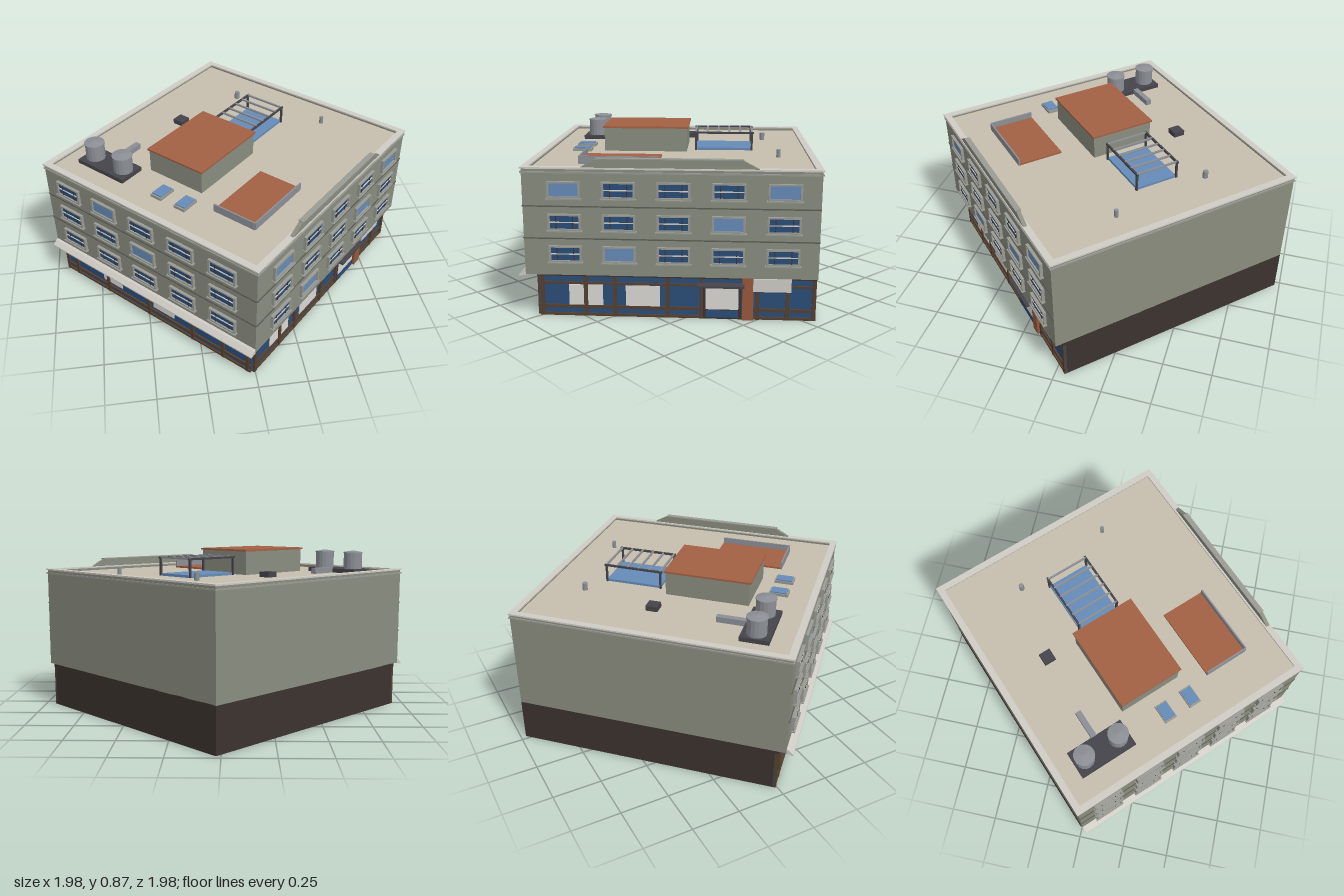
import * as THREE from 'three';

const W = 1.405, D = 1.35;            // upper storeys, before the cornice
const RECESS = 0.055;                 // ground floor set back under the two street fronts
const ROOF = 0.735;

const mat = (color) => new THREE.MeshStandardMaterial({ color });
const M = {
  wall: mat(0x8a8d7f), band: mat(0x5c5e55), trim: mat(0x9a9b94), pale: mat(0xd0cdc6),
  roof: mat(0xc6beae), base: mat(0x3c322e), frame: mat(0x55402f), brick: mat(0x98583c),
  glass: mat(0x2b4d78), lit: mat(0x668cb8), terracotta: mat(0xa26144), paper: mat(0xdcdad5),
  metal: mat(0x8c9096), dark: mat(0x45444a),
};

function add(parent, name, geometry, material, x = 0, y = 0, z = 0) {
  const mesh = new THREE.Mesh(geometry, material);
  mesh.name = name;
  mesh.position.set(x, y, z);
  parent.add(mesh);
  return mesh;
}
// box given by its centre in x and z and by its bottom and top in y
const box = (p, name, m, w, y0, y1, d, x = 0, z = 0) =>
  add(p, name, new THREE.BoxGeometry(w, y1 - y0, d), m, x, (y0 + y1) / 2, z);
// flat box on a facade, from x0 to x1 and y0 to y1, standing out from the wall by d
const panel = (p, name, m, x0, x1, y0, y1, d) =>
  box(p, name, m, x1 - x0, y0, y1, d, (x0 + x1) / 2, d / 2);

function group(parent, name, x = 0, y = 0, z = 0, turn = 0) {
  const g = new THREE.Group();
  g.name = name;
  g.position.set(x, y, z);
  g.rotation.y = turn;
  parent.add(g);
  return g;
}

// four walls around a rectangle
function ring(p, name, m, w, d, t, y0, y1) {
  for (const s of [-1, 1]) {
    box(p, name, m, w, y0, y1, t, 0, s * (d - t) / 2);
    box(p, name, m, t, y0, y1, d - 2 * t, s * (w - t) / 2, 0);
  }
}

function officeWindow(p, x, y, lit) {
  const g = group(p, 'window', x, y, 0);
  const w = 0.158, h = 0.08;
  for (const s of [-1, 1]) {
    box(g, 'windowFrame', M.trim, w, s * (h / 2 - 0.004) - 0.004, s * (h / 2 - 0.004) + 0.004, 0.02, 0, 0.005);
    box(g, 'windowFrame', M.trim, 0.01, -h / 2, h / 2, 0.02, s * (w / 2 - 0.005), 0.005);
  }
  box(g, 'windowSill', M.trim, w + 0.012, -h / 2 - 0.006, -h / 2, 0.03, 0, 0.006);
  box(g, 'windowPane', lit ? M.lit : M.glass, w - 0.02, -h / 2 + 0.008, h / 2 - 0.008, 0.008, 0, 0.003);
  if (lit) return;
  box(g, 'windowTransom', M.pale, w - 0.02, -0.003, 0.002, 0.006, 0, 0.008);
  for (const s of [-1, 1]) box(g, 'windowMullion', M.base, 0.004, -h / 2 + 0.008, h / 2 - 0.008, 0.005, s * 0.04, 0.008);
}

// three rows of five windows and the lines between floors
function upperFacade(p, name, width, pitch, mid, lit, x, z, turn) {
  const g = group(p, name, x, 0, z, turn);
  [0.65, 0.492, 0.335].forEach((y, row) => {
    for (let i = 0; i < 5; i++) officeWindow(g, mid + (i - 2) * pitch, y, lit.includes(row * 5 + i));
  });
  for (const y of [0.41, 0.568]) box(g, 'floorBand', M.band, width, y - 0.003, y + 0.003, 0.008);
  return g;
}

// shop glazing with base, fascia, mullions and paper panels
function shopFront(p, name, x0, x1, posts, papers, baseTop, transom, x, z, turn) {
  const g = group(p, name, x, 0, z, turn);
  panel(g, 'shopGlass', M.glass, x0, x1, 0.01, 0.21, 0.004);
  panel(g, 'shopBase', M.frame, x0, x1, 0, 0.012, 0.014);
  panel(g, 'shopRail', M.frame, x0, x1, baseTop - 0.014, baseTop, 0.014);
  panel(g, 'shopTransom', M.frame, x0, x1, transom, transom + 0.01, 0.014);
  panel(g, 'shopFascia', M.base, x0, x1, 0.207, 0.226, 0.018);
  for (const px of posts) panel(g, 'shopMullion', M.frame, px - 0.009, px + 0.009, 0, 0.21, 0.016);
  for (const [a, b, lo, hi] of papers) panel(g, 'paperPanel', M.paper, a, b, lo, hi, 0.009);
  return g;
}

function buildStreetFronts(b) {
  upperFacade(b, 'mainFacade', W, 0.259, 0.015, [0, 4, 8, 11], 0, D / 2, 0);
  const side = upperFacade(b, 'sideFacade', D, 0.248, -0.012, [1, 7], -W / 2, 0, -Math.PI / 2);

  // sloping ledge above the side shop front
  const s = new THREE.Shape([[0, 0.25], [0.012, 0.245], [0.034, 0.223], [0.034, 0.216], [0, 0.222]]
    .map(([a, c]) => new THREE.Vector2(a, c)));
  const ledge = add(side, 'ledge', new THREE.ExtrudeGeometry(s, { depth: D, bevelEnabled: false }), M.pale, D / 2, 0, 0);
  ledge.rotation.y = -Math.PI / 2;

  const right = shopFront(b, 'mainShopFront', -W / 2 + RECESS, W / 2,
    [-0.635, -0.42, -0.276, -0.018, 0.147, 0.42, 0.564, 0.693],
    [[-0.503, -0.43, 0.05, 0.16], [-0.41, -0.336, 0.05, 0.16], [-0.223, -0.056, 0.05, 0.16]],
    0.055, 0.165, 0, D / 2 - RECESS, 0);
  // entrance with canopy, pillar and blank sign
  panel(right, 'door', M.base, 0.155, 0.342, 0, 0.17, 0.015);
  panel(right, 'doorBottom', M.glass, 0.168, 0.328, 0.008, 0.045, 0.017);
  panel(right, 'doorPane', M.paper, 0.168, 0.328, 0.05, 0.16, 0.018);
  panel(right, 'doorCanopy', M.dark, 0.13, 0.355, 0.174, 0.184, 0.06);
  panel(right, 'entrancePillar', M.brick, 0.346, 0.4, 0, 0.225, 0.026);
  panel(right, 'signBoard', M.pale, 0.397, 0.58, 0.15, 0.215, 0.032);

  shopFront(b, 'sideShopFront', -D / 2, D / 2 - RECESS,
    [-0.666, -0.588, -0.346, -0.05, 0.25, 0.447, 0.6],
    [[-0.385, -0.248, 0.068, 0.165], [-0.02, 0.122, 0.068, 0.165]],
    0.05, 0.2, -W / 2 + RECESS, 0, -Math.PI / 2);
}

function buildRoof(b) {
  ring(b, 'parapet', M.wall, W, D, 0.022, 0.72, 0.752);
  ring(b, 'cornice', M.trim, W + 0.01, D + 0.01, 0.016, 0.728, 0.736);
  ring(b, 'parapetCap', M.pale, W + 0.012, D + 0.012, 0.034, 0.748, 0.756);

  // raised parapet with sloping ends over the main front
  const s = new THREE.Shape([[-0.43, 0.752], [0.42, 0.752], [0.335, 0.797], [-0.345, 0.797]]
    .map(([x, y]) => new THREE.Vector2(x, y)));
  add(b, 'raisedParapet', new THREE.ExtrudeGeometry(s, { depth: 0.02, bevelEnabled: false }), M.wall, 0, 0, D / 2 - 0.018);
  box(b, 'raisedParapetCap', M.trim, 0.69, 0.796, 0.801, 0.028, -0.005, D / 2 - 0.008);

  box(b, 'penthouse', M.wall, 0.44, ROOF, 0.86, 0.335, -0.17, -0.05);
  box(b, 'penthouseRoof', M.terracotta, 0.455, 0.858, 0.868, 0.35, -0.17, -0.05);

  const patio = group(b, 'patio', -0.267, 0, 0.37);
  box(patio, 'patioFloor', M.terracotta, 0.39, ROOF, 0.745, 0.24);
  box(patio, 'patioWall', M.metal, 0.39, ROOF, 0.776, 0.008, 0, 0.12);
  box(patio, 'patioWall', M.metal, 0.008, ROOF, 0.776, 0.24, -0.195, 0);

  // glazed roof light under a slatted frame
  const pergola = group(b, 'pergola', 0.247, 0, -0.051);
  box(pergola, 'roofLight', M.lit, 0.3, ROOF, 0.748, 0.225);
  for (const z of [-0.115, 0.115]) {
    box(pergola, 'pergolaRail', M.dark, 0.32, 0.824, 0.834, 0.01, 0, z);
    for (const x of [-0.15, 0.15]) box(pergola, 'pergolaPost', M.dark, 0.01, ROOF, 0.826, 0.01, x, z);
  }
  for (let i = 0; i < 6; i++) box(pergola, 'pergolaSlat', M.metal, 0.009, 0.826, 0.835, 0.23, -0.15 + i * 0.06, 0);

  // water tanks on a dark pad
  const tanks = group(b, 'waterTanks', -0.495, 0, -0.408);
  box(tanks, 'tankPad', M.dark, 0.145, ROOF, 0.757, 0.31);
  const profile = [[0, 0.75], [0.05, 0.75], [0.05, 0.842], [0.053, 0.842], [0.053, 0.848], [0, 0.857]]
    .map(([r, y]) => new THREE.Vector2(r, y));
  const tank = new THREE.LatheGeometry(profile, 16).toNonIndexed();
  tank.computeVertexNormals();
  for (const z of [-0.097, 0.097]) add(tanks, 'tank', tank, M.metal, 0, 0, z);
  box(tanks, 'duct', M.metal, 0.15, ROOF, 0.765, 0.03, 0.145, 0);

  for (const z of [-0.037, 0.11]) {
    box(b, 'skylightCurb', M.trim, 0.1, ROOF, 0.75, 0.066, -0.51, z);
    box(b, 'skylightPane', M.lit, 0.084, 0.75, 0.756, 0.058, -0.51, z);
  }
  box(b, 'roofUnit', M.dark, 0.062, ROOF, 0.762, 0.062, 0.059, -0.384);
  for (const [x, z, r] of [[0.469, -0.295, 0.014], [0.527, 0.25, 0.011]])
    add(b, 'ventPipe', new THREE.CylinderGeometry(r, r, 0.04, 8), M.metal, x, ROOF + 0.02, z);
}

export function createModel() {
  const model = new THREE.Group();
  model.name = 'cornerBuilding';
  // the street corner points to the front
  const b = group(model, 'building', 0.0025, 0, 0, Math.PI / 4);
  box(b, 'groundFloor', M.base, W - RECESS, 0, 0.228, D - RECESS, RECESS / 2, -RECESS / 2);
  box(b, 'upperFloors', M.wall, W, 0.226, ROOF - 0.004, D);
  box(b, 'roofDeck', M.roof, W - 0.03, ROOF - 0.01, ROOF, D - 0.03);
  buildStreetFronts(b);
  buildRoof(b);
  return model;
}
